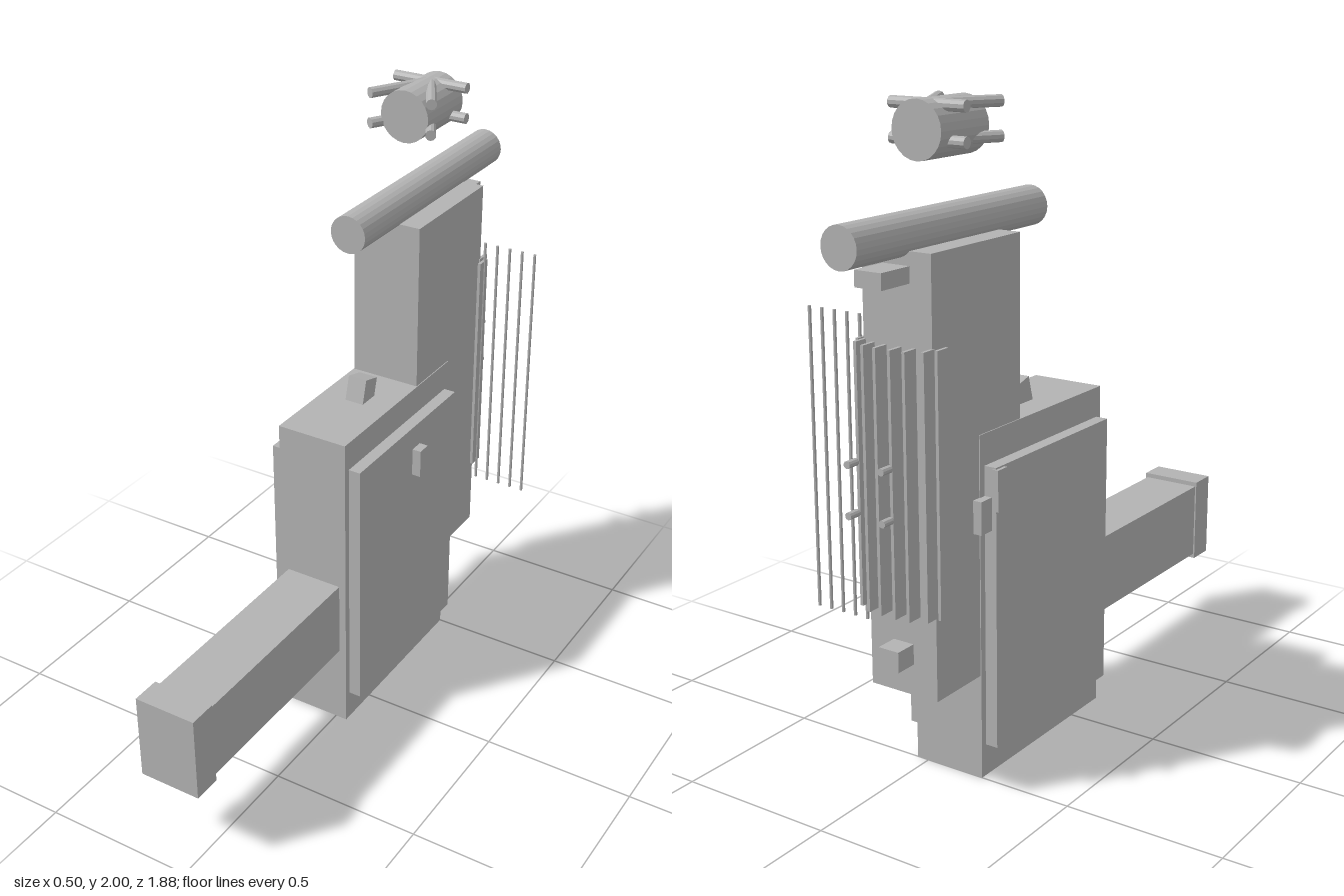
import * as THREE from 'three';

export function createModel() {
  const model = new THREE.Group();
  model.name = 'machine';
  const grey = new THREE.MeshStandardMaterial({ color: 0xb2b2b2, flatShading: true });
  grey.name = 'plain grey';
  const CX = -0.08; // centre plane of the body

  const add = (name, geometry, x, y, z) => {
    const mesh = new THREE.Mesh(geometry, grey);
    mesh.name = name;
    mesh.position.set(x, y, z);
    model.add(mesh);
    return mesh;
  };
  // Box given by its limits on each axis
  const box = (name, x0, x1, y0, y1, z0, z1) =>
    add(name, new THREE.BoxGeometry(x1 - x0, y1 - y0, z1 - z0),
      (x0 + x1) / 2, (y0 + y1) / 2, (z0 + z1) / 2);
  // Cylinder lying along z
  const cylinderZ = (name, r, x, y, z0, z1, sides) =>
    add(name, new THREE.CylinderGeometry(r, r, z1 - z0, sides).rotateX(Math.PI / 2),
      x, y, (z0 + z1) / 2);

  // Main housing and rear column
  box('lowerHousing', -0.2, 0.04, 0, 1.065, -0.5, 0.15);
  box('rearColumn', -0.197, 0.037, 0.33, 1.612, -0.71, -0.293);

  // Side panels with handle and latch
  box('leftPanel', 0.04, 0.08, 0.1, 0.97, -0.478, 0.128);
  box('rightPanel', -0.24, -0.2, 0.1, 0.97, -0.478, 0.128);
  box('panelHandle', 0.08, 0.11, 0.795, 0.89, -0.245, -0.198);
  box('latchPlate', -0.25, -0.23, 0.84, 0.965, -0.482, -0.437);
  box('latchBlock', -0.225, -0.195, 0.78, 0.88, -0.53, -0.478);

  // Front arm with end cap
  box('frontArm', -0.177, 0.016, 0.28, 0.535, 0.15, 0.855);
  box('armCap', -0.182, 0.023, 0.265, 0.55, 0.85, 0.942);

  // Tilted control block on the shoulder
  const control = box('controlBlock', -0.112, -0.048, 1.03, 1.135, -0.173, -0.105);
  control.rotation.x = -0.27;

  // Top tube
  cylinderZ('topTube', 0.06, CX, 1.65, -0.942, -0.065, 24);

  // Floating drum with two tiers of radiating pins
  cylinderZ('drum', 0.083, CX, 1.917, -0.612, -0.393, 24);
  const pins = [[0.127, 0], [-0.127, 0], [0.107, 0.19], [-0.107, 0.19]];
  for (const y of [1.886, 1.982]) {
    for (const [dx, dz] of pins) {
      const length = Math.hypot(dx, dz);
      const pin = add('drumPin', new THREE.CylinderGeometry(0.017, 0.017, length, 10).rotateX(Math.PI / 2),
        CX + dx / 2, y, -0.557 + dz / 2);
      pin.rotation.y = Math.atan2(dx, dz);
    }
  }

  // Rear brackets
  box('upperBracket', CX - 0.045, CX + 0.045, 1.525, 1.572, -0.83, -0.7);
  box('lowerBracket', CX - 0.035, CX + 0.035, 0.425, 0.487, -0.78, -0.7);

  // Curved row of upright fins behind the column, mirrored about the centre
  for (const side of [-1, 1]) {
    for (const [dx, z] of [[0.135, -0.693], [0.115, -0.727], [0.07, -0.752], [0.025, -0.757]]) {
      add('rearFin', new THREE.BoxGeometry(0.01, 0.77, 0.05), CX + side * dx, 0.97, z);
    }
    // Small pegs behind the fins
    for (const y of [0.897, 1.043]) cylinderZ('rearPeg', 0.011, CX + side * 0.058, y, -0.867, -0.828, 10);
  }

  // Row of thin upright rods at one side
  for (let i = 0; i < 5; i++) {
    add('thinRod', new THREE.CylinderGeometry(0.005, 0.005, 0.9, 8), 0.06 + i * 0.045, 0.97, -0.698);
  }
  return model;
}
